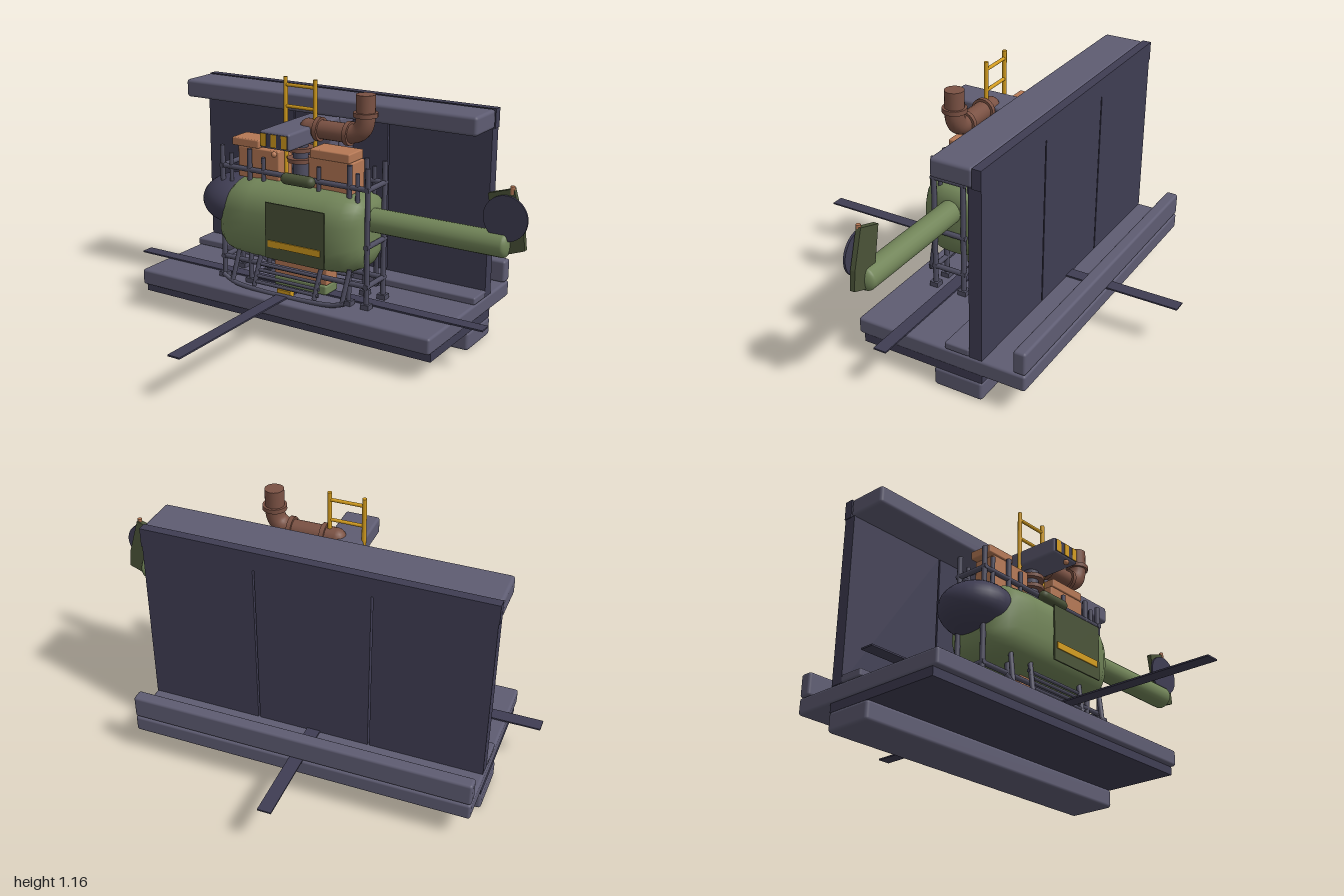
import * as THREE from 'three';
import { RoundedBoxGeometry } from 'three/addons/geometries/RoundedBoxGeometry.js';

const paint = (name, color) => {
  const m = new THREE.MeshStandardMaterial({ color });
  m.name = name;
  return m;
};

export function createModel() {
  const root = new THREE.Group();
  const grey = paint('slate grey', 0x5e5c72);
  const dark = paint('dark slate', 0x3f3d53);
  const steel = paint('frame steel', 0x4e4d60);
  const green = paint('olive green', 0x718458);
  const darkGreen = paint('dark olive', 0x4a5338);
  const yellow = paint('safety yellow', 0xd39c1e);
  const copper = paint('copper', 0xb57855);
  const brown = paint('pipe brown', 0x7a5143);

  const add = (name, geo, mat, parent = root) => {
    const m = new THREE.Mesh(geo, mat);
    m.name = name;
    parent.add(m);
    return m;
  };
  // Box from its two limits on each axis, optionally rounded
  const box = (name, mat, x, y, z, r = 0) => {
    const s = [x, y, z].map(([a, b]) => b - a);
    const geo = r ? new RoundedBoxGeometry(...s, 2, r) : new THREE.BoxGeometry(...s);
    const m = add(name, geo, mat);
    m.position.set((x[0] + x[1]) / 2, (y[0] + y[1]) / 2, (z[0] + z[1]) / 2);
    return m;
  };
  // Straight rod between two points
  const rod = (name, mat, a, b, r, sides = 10) => {
    const p = new THREE.Vector3(...a), q = new THREE.Vector3(...b);
    const d = q.clone().sub(p);
    const m = add(name, new THREE.CylinderGeometry(r, r, d.length(), sides), mat);
    m.position.copy(p).add(q).multiplyScalar(0.5);
    m.quaternion.setFromUnitVectors(new THREE.Vector3(0, 1, 0), d.normalize());
    return m;
  };

  // Platform and beams
  const X = [-0.845, 0.68];
  box('platform', grey, X, [0.123, 0.198], [-0.587, 0.215], 0.012);
  box('platformUnderside', dark, [-0.84, 0.675], [0.085, 0.125], [-0.388, 0.19]);
  box('lowerBeam', grey, X, [0, 0.088], [-0.39, -0.16], 0.015);
  box('rearBar', grey, X, [0.2, 0.305], [-0.587, -0.53], 0.012);
  box('upperBeam', grey, X, [0.965, 1.05], [-0.35, -0.16], 0.015);

  // Back wall of three panels with narrow gaps
  const w = (X[1] - X[0]) / 3;
  for (let i = 0; i < 3; i++) {
    box('wallPanel', dark, [X[0] + i * w + 0.004, X[0] + (i + 1) * w - 0.004], [0.198, 0.967], [-0.388, -0.33]);
  }
  box('wallTopStrip', dark, X, [0.965, 1.051], [-0.39, -0.349]);
  box('wallBaseRail', grey, X, [0.198, 0.232], [-0.33, -0.215], 0.008);

  // Column and overhead walkway
  box('column', grey, [-0.16, -0.01], [0.2, 0.95], [-0.33, -0.21], 0.01);
  box('walkwaySupport', grey, [-0.155, -0.015], [0.2, 0.885], [-0.21, -0.14], 0.01);
  box('walkway', grey, [-0.163, -0.007], [0.885, 0.962], [-0.21, 0.205], 0.012);
  box('warningPlate', dark, [-0.155, -0.015], [0.895, 0.952], [0.203, 0.208]);
  for (let i = 0; i < 3; i++) {
    const x = -0.152 + i * 0.053;
    box('warningStripe', yellow, [x, x + 0.028], [0.895, 0.952], [0.207, 0.21]);
  }
  const lamp = add('walkwayLamp', new THREE.SphereGeometry(0.013, 10, 8), copper);
  lamp.position.set(-0.085, 0.865, 0.205);

  // Ladder
  for (const x of [-0.162, -0.008]) rod('ladderRail', yellow, [x, 0.7, 0], [x, 1.16, 0], 0.01);
  for (const y of [0.8, 1.03, 1.125]) rod('ladderRung', yellow, [-0.162, y, 0], [-0.008, y, 0], 0.008);

  // Flat crossed blades
  box('longBlade', dark, [-1, 0.83], [0.198, 0.205], [-0.03, 0.03]);
  box('crossBlade', dark, [-0.115, -0.055], [0.1985, 0.2055], [-0.917, 0.912]);

  // Fuselage lofted from rounded sections: x, centre y, half height, half width
  const sections = [
    [-0.457, 0.465, 0.05, 0.08], [-0.44, 0.475, 0.1, 0.125], [-0.4, 0.5, 0.152, 0.16],
    [-0.36, 0.515, 0.175, 0.178], [-0.26, 0.518, 0.183, 0.185], [0.13, 0.518, 0.183, 0.185],
    [0.21, 0.52, 0.178, 0.172], [0.262, 0.525, 0.158, 0.142], [0.285, 0.53, 0.125, 0.11], [0.292, 0.53, 0.09, 0.08],
  ];
  const n = 32, pos = [], idx = [];
  const squash = (v) => Math.sign(v) * Math.abs(v) ** 0.72;
  for (const [x, yc, hy, hz] of sections) {
    for (let j = 0; j < n; j++) {
      const a = (j / n) * Math.PI * 2;
      pos.push(x, yc + hy * squash(Math.cos(a)), hz * squash(Math.sin(a)));
    }
  }
  const last = (sections.length - 1) * n, c0 = last + n, c1 = c0 + 1;
  pos.push(-0.46, 0.465, 0, 0.293, 0.53, 0);
  for (let j = 0; j < n; j++) {
    const k = (j + 1) % n;
    for (let i = 0; i < last; i += n) idx.push(i + j, i + k, i + n + j, i + k, i + n + k, i + n + j);
    idx.push(c0, k, j, c1, last + j, last + k);
  }
  const hull = new THREE.BufferGeometry();
  hull.setAttribute('position', new THREE.Float32BufferAttribute(pos, 3));
  hull.setIndex(idx);
  hull.computeVertexNormals();
  add('fuselage', hull, green);
  const nose = add('noseCanopy', new THREE.SphereGeometry(1, 28, 20), dark);
  nose.position.set(-0.425, 0.567, 0);
  nose.scale.set(0.167, 0.117, 0.163);

  // Side door with stripe
  box('door', darkGreen, [-0.147, 0.155], [0.385, 0.64], [0.183, 0.19]);
  box('doorStripe', yellow, [-0.132, 0.137], [0.44, 0.47], [0.189, 0.195]);

  // Roof pod
  const pod = add('roofPod', new THREE.CapsuleGeometry(0.026, 0.12, 6, 14), darkGreen);
  pod.rotation.z = Math.PI / 2;
  pod.position.set(-0.04, 0.73, 0.09);

  // Tail boom, fin and tail disc
  rod('tailBoom', green, [0.27, 0.583, 0], [0.895, 0.583, 0], 0.053, 20);
  const boomEnd = add('tailBoomEnd', new THREE.SphereGeometry(0.053, 20, 14), green);
  boomEnd.position.set(0.895, 0.583, 0);
  boomEnd.scale.x = 0.5;
  const fin = new THREE.Shape([[0.86, 0.56], [0.905, 0.545], [0.985, 0.575], [0.975, 0.66], [0.925, 0.825], [0.815, 0.79]]
    .map(([x, y]) => new THREE.Vector2(x, y)));
  const finGeo = new THREE.ExtrudeGeometry(fin, { depth: 0.022, bevelEnabled: false });
  add('tailFin', finGeo.translate(0, 0, -0.016), darkGreen);
  const disc = add('tailDisc', new THREE.CylinderGeometry(0.096, 0.096, 0.01, 32), dark);
  disc.rotation.x = Math.PI / 2;
  disc.position.set(0.9, 0.7, 0.016);
  rod('tailLamp', copper, [0.918, 0.8, 0], [0.918, 0.833, 0], 0.01);

  // Copper engine housings and the mast between them
  box('frontHousing', copper, [-0.385, -0.165], [0.69, 0.832], [-0.055, 0.055], 0.006);
  box('frontHousingLid', copper, [-0.415, -0.27], [0.832, 0.87], [-0.055, 0.06], 0.006);
  box('rearHousing', copper, [-0.01, 0.21], [0.69, 0.832], [-0.055, 0.055], 0.006);
  box('rearHousingLid', copper, [0, 0.2], [0.83, 0.872], [-0.06, 0.06], 0.006);
  rod('mast', steel, [-0.085, 0.69, 0], [-0.085, 0.89, 0], 0.035, 16);
  for (const y of [0.79, 0.84]) rod('mastCollar', brown, [-0.085, y, 0], [-0.085, y + 0.018, 0], 0.06, 16);

  // Exhaust pipe with elbow and flanges
  const pipe = new THREE.CurvePath();
  const v = (x, y) => new THREE.Vector3(x, y, 0);
  pipe.add(new THREE.LineCurve3(v(-0.04, 0.948), v(0.16, 0.948)));
  pipe.add(new THREE.QuadraticBezierCurve3(v(0.16, 0.948), v(0.243, 0.948), v(0.243, 1.03)));
  pipe.add(new THREE.LineCurve3(v(0.243, 1.03), v(0.243, 1.125)));
  add('exhaustPipe', new THREE.TubeGeometry(pipe, 40, 0.042, 20), brown);
  rod('pipeMouth', brown, [0.243, 1.1, 0], [0.243, 1.126, 0], 0.042, 20);
  rod('pipeFlange', brown, [0.243, 1.03, 0], [0.243, 1.05, 0], 0.053, 20);
  for (const x of [0.005, 0.155]) rod('pipeFlange', brown, [x, 0.948, 0], [x + 0.02, 0.948, 0], 0.053, 20);
  const inlet = add('pipeInlet', new THREE.SphereGeometry(0.042, 16, 12), brown);
  inlet.position.set(-0.04, 0.948, 0);

  // Maintenance frame around the body
  for (const s of [-1, 1]) {
    const z = s * 0.072;
    for (const x of [-0.46, -0.31, 0.21, 0.3]) {
      rod('framePost', steel, [x, 0.2, z], [x, 0.83, z], 0.012);
      box('postFoot', steel, [x - 0.02, x + 0.02], [0.2, 0.222], [z - 0.02, z + 0.02]);
    }
    for (const x of [-0.41, -0.235, 0.055, 0.25]) rod('shortPost', steel, [x, 0.66, z], [x, 0.8, z], 0.01);
    for (const y of [0.3, 0.735]) rod('frameRail', steel, [-0.47, y, z], [0.31, y, z], 0.012);
  }
  for (const x of [-0.46, 0.3]) {
    for (const y of [0.3, 0.48, 0.735]) rod('frameCrossbar', steel, [x, y, -0.085], [x, y, 0.085], 0.012);
  }

  // Landing skids, splayed legs, step bars and yellow chocks
  for (const s of [-1, 1]) {
    const path = new THREE.CatmullRomCurve3([[-0.41, 0.245], [-0.34, 0.214], [0.16, 0.212], [0.24, 0.235]]
      .map(([x, y]) => new THREE.Vector3(x, y, s * 0.15)));
    add('skid', new THREE.TubeGeometry(path, 24, 0.011, 10), steel);
    for (const x of [-0.36, -0.24, 0.08, 0.22]) rod('skidLeg', steel, [x, 0.22, s * 0.15], [x + 0.02, 0.38, s * 0.115], 0.011);
    for (let i = 0; i < 4; i++) {
      const y = 0.24 + i * 0.027, z = s * (0.146 - i * 0.007);
      rod('stepBar', steel, [-0.24, y, z], [0.1, y, z], 0.008);
    }
    box('chock', yellow, [-0.12, -0.05], [0.2, 0.226], s > 0 ? [0.11, 0.145] : [-0.145, -0.11]);
  }
  box('bellyBox', copper, [-0.2, 0.08], [0.25, 0.345], [-0.045, 0.045], 0.005);
  box('bellyBase', green, [-0.2, 0.08], [0.203, 0.25], [-0.05, 0.05], 0.01);
  return root;
}
